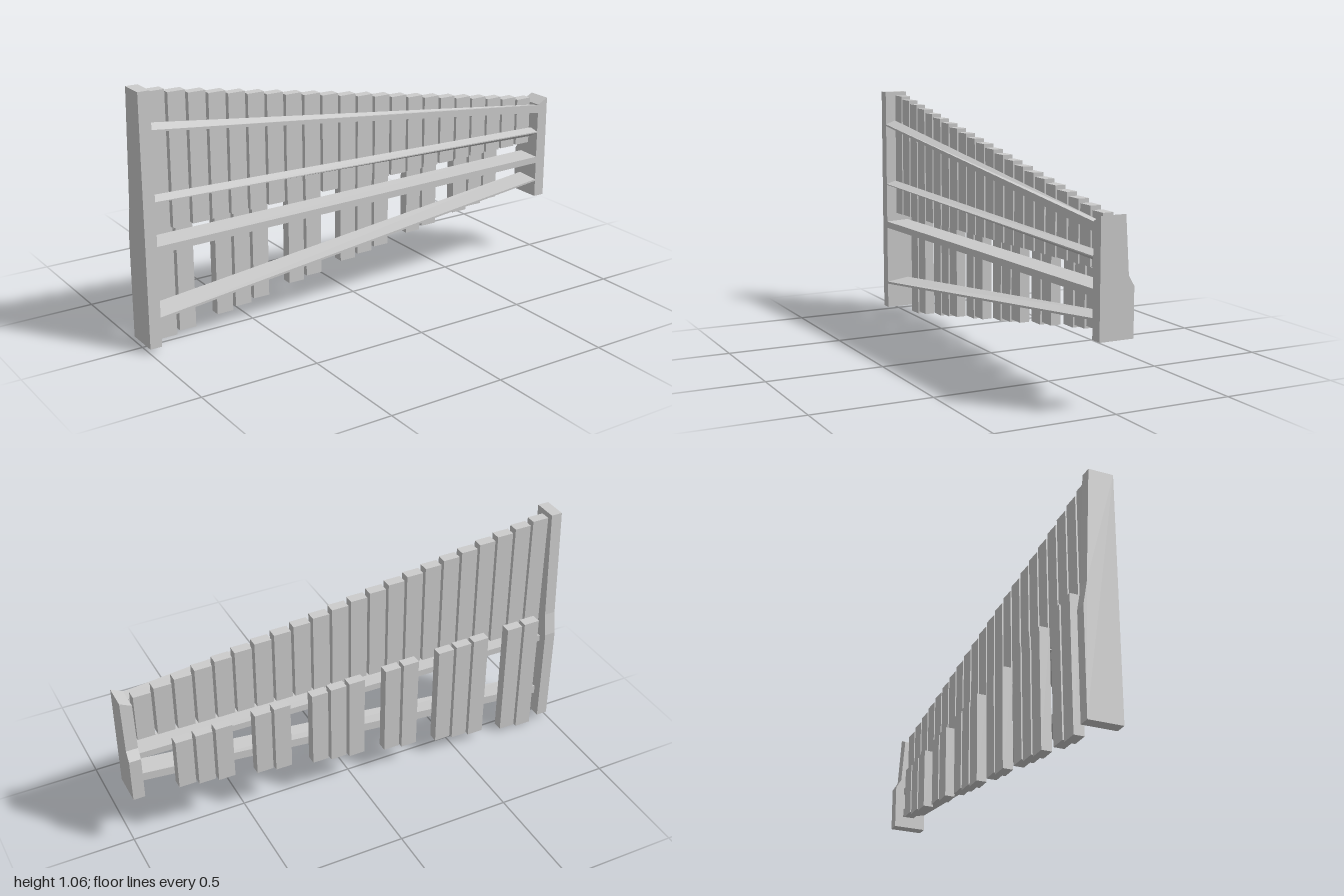
import * as THREE from 'three';

const material = new THREE.MeshStandardMaterial({ color: 0xcccccc, flatShading: true });

function add(parent, geometry, name) {
  const mesh = new THREE.Mesh(geometry, material);
  mesh.name = name;
  parent.add(mesh);
  return mesh;
}

// Upright box given by its limits
function bar(parent, name, x0, width, y0, y1, z0, z1) {
  const mesh = add(parent, new THREE.BoxGeometry(width, y1 - y0, z1 - z0), name);
  mesh.position.set(x0 + width / 2, (y0 + y1) / 2, (z0 + z1) / 2);
}

// End post: side profile of [z, y] points extruded along x
function post(parent, name, profile, x0) {
  const shape = new THREE.Shape(profile.map(([z, y]) => new THREE.Vector2(-z, y)));
  const geometry = new THREE.ExtrudeGeometry(shape, { depth: 0.05, bevelEnabled: false });
  geometry.rotateY(Math.PI / 2).translate(x0, 0, 0);
  return add(parent, geometry, name);
}

// Tapered rail: each end lists heights [front top, front bottom, back top, back bottom]
function rail(parent, name, zBack, right, left) {
  const geometry = new THREE.BoxGeometry(1.9, 1, 1);
  const p = geometry.attributes.position;
  for (let i = 0; i < p.count; i++) {
    const end = p.getX(i) < 0 ? right : left;
    const front = p.getZ(i) > 0;
    const corner = (front ? 0 : 2) + (p.getY(i) > 0 ? 0 : 1);
    p.setY(i, end[corner]);
    p.setZ(i, front ? 0.075 : zBack);
  }
  geometry.computeVertexNormals();
  add(parent, geometry, name);
}

export function createModel() {
  const model = new THREE.Group();
  model.name = 'barInstrument';

  // Frame posts, stepped out at the lower back
  const frame = new THREE.Group();
  frame.name = 'frame';
  model.add(frame);
  post(frame, 'tallPost', [[0.075, 0.02], [0.075, 1.06], [-0.03, 1.06],
    [-0.053, 0.57], [-0.07, 0.47], [-0.07, 0.02]], -1);
  const short = post(frame, 'shortPost', [[0.075, 0.275], [0.075, 0.735], [-0.03, 0.735],
    [-0.045, 0.51], [-0.069, 0.47], [-0.069, 0.275]], 0.95);

  // The short post's top slopes down toward the inside
  const p = short.geometry.attributes.position;
  for (let i = 0; i < p.count; i++) {
    if (p.getY(i) > 0.73 && p.getX(i) < 0.96) p.setY(i, 0.71);
  }
  short.geometry.computeVertexNormals();

  // Rails: two carry the upper bars, two reach back to the lower bars
  rail(frame, 'topRail', 0.03, [0.907, 0.9, 0.925, 0.888], [0.708, 0.672, 0.7, 0.667]);
  rail(frame, 'upperMiddleRail', 0.03, [0.622, 0.618, 0.636, 0.605], [0.583, 0.578, 0.593, 0.552]);
  rail(frame, 'lowerMiddleRail', -0.03, [0.44, 0.41, 0.445, 0.415], [0.464, 0.435, 0.468, 0.44]);
  rail(frame, 'bottomRail', -0.03, [0.145, 0.135, 0.16, 0.121], [0.356, 0.348, 0.363, 0.326]);

  // Upper row: evenly spaced bars growing shorter toward the short post
  const pitch = 0.0861;
  const upper = new THREE.Group();
  upper.name = 'upperBars';
  model.add(upper);
  for (let i = 0; i < 22; i++) {
    bar(upper, 'upperBar', -0.943 + i * pitch, 0.074,
      0.48 + i * 0.0021, 1.043 - i * 0.0147, -0.015, 0.029);
  }

  // Lower row: alternating groups of two and three
  const lower = new THREE.Group();
  lower.name = 'lowerBars';
  model.add(lower);
  for (const k of [0, 1, 3, 4, 5, 7, 8, 10, 11, 12, 14, 15, 17, 18, 19]) {
    bar(lower, 'lowerBar', -0.904 + k * pitch, 0.073,
      k * 0.0142, 0.565 - k * 0.0034, -0.075, -0.031);
  }
  return model;
}
